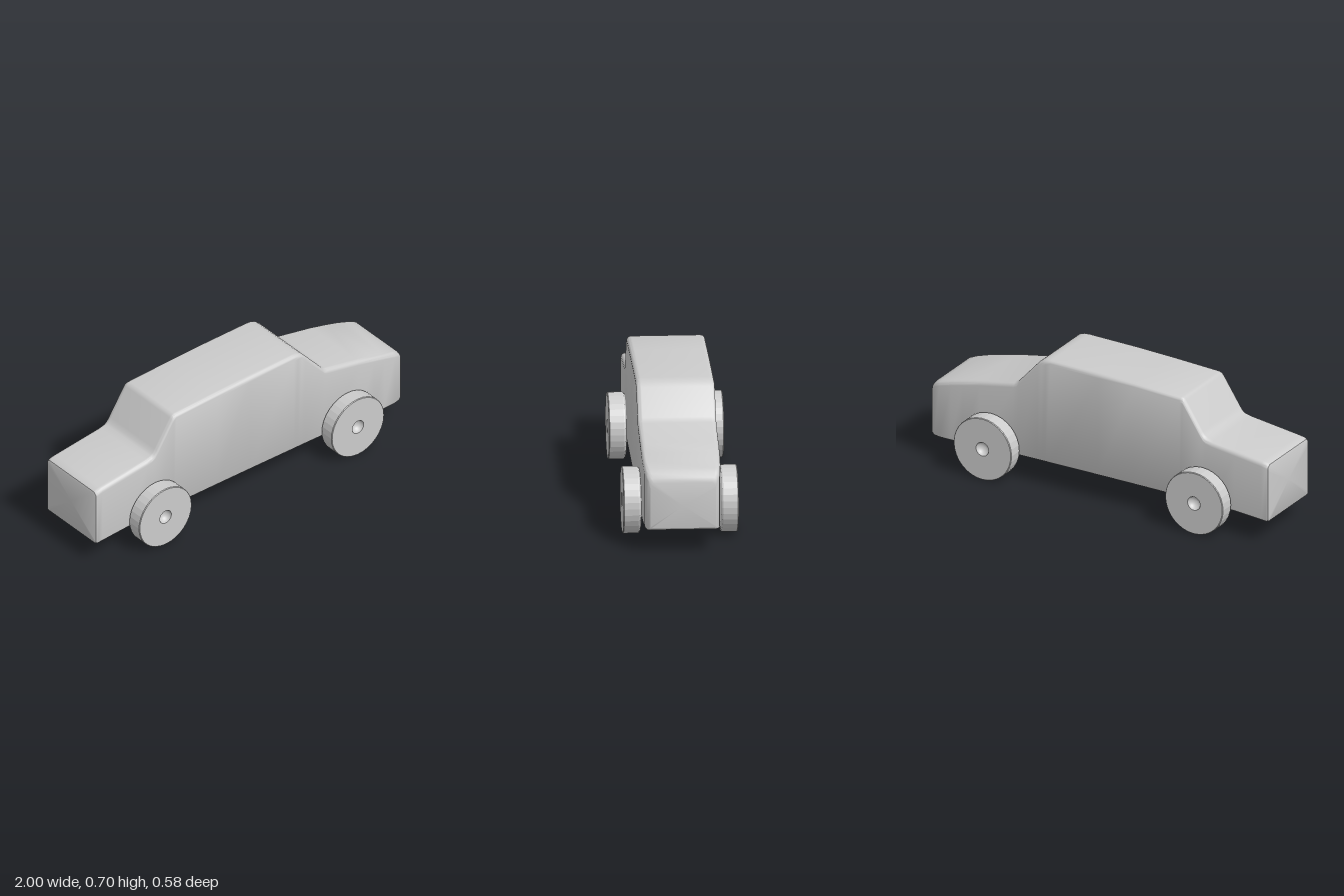
import * as THREE from 'three';
import { toCreasedNormals } from 'three/addons/utils/BufferGeometryUtils.js';

const material = new THREE.MeshStandardMaterial({ color: 0xcccccc });
const facetedMaterial = new THREE.MeshStandardMaterial({ color: 0xcccccc, flatShading: true });

// Body stations from tail to nose: x, top, bottom, half width
const stations = [
  [-1.0, 0.42, 0.128, 0.189], [-0.996, 0.431, 0.121, 0.195], [-0.985, 0.438, 0.118, 0.198],
  [-0.957, 0.444, 0.12, 0.198], [-0.8, 0.464, 0.131, 0.198], [-0.665, 0.481, 0.135, 0.198],
  [-0.63, 0.49, 0.135, 0.198], [-0.615, 0.5, 0.135, 0.198], [-0.6, 0.52, 0.135, 0.198],
  [-0.503, 0.668, 0.136, 0.198], [-0.493, 0.68, 0.136, 0.198], [-0.478, 0.685, 0.136, 0.198],
  [-0.21, 0.696, 0.137, 0.198], [0.0, 0.702, 0.137, 0.198], [0.283, 0.705, 0.136, 0.198],
  [0.31, 0.703, 0.136, 0.198], [0.335, 0.695, 0.136, 0.198], [0.358, 0.676, 0.136, 0.198],
  [0.47, 0.551, 0.135, 0.198], [0.482, 0.538, 0.135, 0.198], [0.5, 0.531, 0.134, 0.198],
  [0.7, 0.492, 0.128, 0.198], [0.8, 0.468, 0.123, 0.197], [0.87, 0.45, 0.119, 0.195],
  [0.94, 0.429, 0.117, 0.19], [0.975, 0.415, 0.118, 0.184], [0.992, 0.395, 0.123, 0.175],
  [1.0, 0.37, 0.133, 0.165],
];

// Rounded rectangle in the z-y plane, with a softer radius along the top
function section([x, top, bottom, half]) {
  const ring = [];
  const steps = 5;
  const corners = [[1, 1, 0.025], [-1, 1, 0.025], [-1, -1, 0.012], [1, -1, 0.012]];
  corners.forEach(([sz, sy, r], quarter) => {
    const cz = sz * (half - r);
    const cy = sy > 0 ? top - r : bottom + r;
    for (let i = 0; i <= steps; i++) {
      const a = (quarter + i / steps) * Math.PI / 2;
      ring.push([x, cy + r * Math.sin(a), cz + r * Math.cos(a)]);
    }
  });
  return ring;
}

function bodyGeometry() {
  const rings = stations.map(section);
  const n = rings[0].length;
  const last = (rings.length - 1) * n;
  const index = [];
  for (let i = 0; i < rings.length - 1; i++) {
    for (let j = 0; j < n; j++) {
      const a = i * n + j, b = i * n + (j + 1) % n;
      index.push(a, a + n, b + n, a, b + n, b);
    }
  }
  // Tail and nose faces
  const tail = rings.length * n;
  for (let j = 0; j < n; j++) {
    const k = (j + 1) % n;
    index.push(tail, j, k, tail + 1, last + k, last + j);
  }
  const points = [...rings.flat(), [-1, 0.28, 0], [1, 0.25, 0]];
  const geometry = new THREE.BufferGeometry();
  geometry.setAttribute('position', new THREE.Float32BufferAttribute(points.flat(), 3));
  geometry.setIndex(index);
  return toCreasedNormals(geometry, 0.6);
}

const lathe = (points, segments) =>
  new THREE.LatheGeometry(points.map(([r, h]) => new THREE.Vector2(r, h)), segments);

// Wheel axis is local y: slightly domed inner face, crisp outer face
const wheelGeometry = lathe([
  [0, 0.194], [0.1, 0.195], [0.14, 0.198], [0.16, 0.202], [0.168, 0.208], [0.17, 0.214],
  [0.17, 0.286], [0.167, 0.29], [0.037, 0.29],
], 32);

// Round recess in the wheel centre
const dimplePoints = [];
for (let i = 0; i <= 6; i++) {
  const a = i / 6 * Math.PI / 2;
  dimplePoints.push([0.037 * Math.cos(a), 0.29 - 0.035 * Math.sin(a)]);
}
const dimpleGeometry = lathe(dimplePoints, 32);

function createWheel(name, x, side) {
  const wheel = new THREE.Group();
  wheel.name = name;
  const disc = new THREE.Mesh(wheelGeometry, facetedMaterial);
  disc.name = 'wheelDisc';
  const dimple = new THREE.Mesh(dimpleGeometry, material);
  dimple.name = 'axleRecess';
  wheel.add(disc, dimple);
  wheel.rotation.x = side * Math.PI / 2;
  wheel.position.set(x, 0.17, 0);
  return wheel;
}

export function createModel() {
  const car = new THREE.Group();
  car.name = 'toyCar';

  const body = new THREE.Mesh(bodyGeometry(), material);
  body.name = 'body';
  body.position.z = 0.003;
  car.add(body);

  for (const [axle, x] of [['rear', -0.62], ['front', 0.625]]) {
    car.add(createWheel(axle + 'WheelNear', x, 1), createWheel(axle + 'WheelFar', x, -1));
  }
  return car;
}
